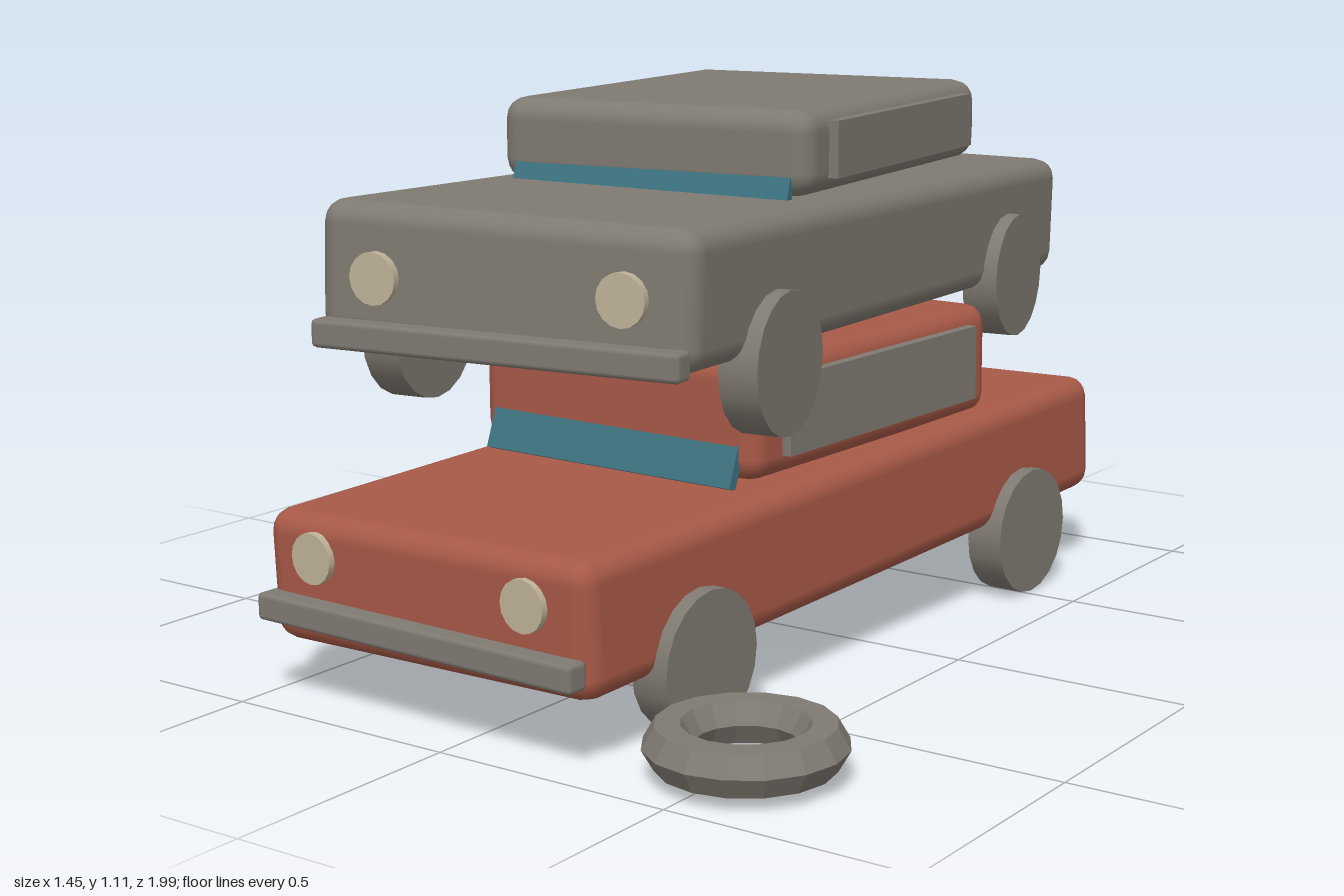
import * as THREE from 'three';
import { RoundedBoxGeometry } from 'three/addons/geometries/RoundedBoxGeometry.js';

function makeMaterial(name, color) {
  const m = new THREE.MeshStandardMaterial({ color });
  m.name = name;
  return m;
}

function addMesh(parent, name, geometry, material, x, y, z) {
  const mesh = new THREE.Mesh(geometry, material);
  mesh.name = name;
  mesh.position.set(x, y, z);
  parent.add(mesh);
  return mesh;
}

export function createModel() {
  const grey = makeMaterial('weathered grey', 0x7f7a71);
  const rust = makeMaterial('rust red', 0xa85947);
  const cream = makeMaterial('lamp cream', 0xbfb298);
  const teal = makeMaterial('glass teal', 0x3d7280);

  const wheelGeo = new THREE.CylinderGeometry(0.137, 0.137, 0.08, 20).rotateZ(Math.PI / 2);
  const lampGeo = new THREE.CylinderGeometry(0.05, 0.05, 0.03, 16).rotateX(Math.PI / 2);

  // One wrecked car; its origin lies at axle height
  function makeCar(name, paint, o) {
    const car = new THREE.Group();
    car.name = name;

    // Body shell, knocked slightly askew
    const body = addMesh(car, 'body', new RoundedBoxGeometry(0.8, 0.26, 1.8, 2, 0.045), paint, 0, 0.132, 0);
    body.rotation.set(o.pitch, 0, o.roll);

    // Cabin, crushed to the given height
    const h = o.cabinHeight;
    const cabinY = 0.27 + h / 2;
    addMesh(car, 'cabin', new RoundedBoxGeometry(0.7, h, 0.86, 2, 0.045), paint, 0, cabinY, -0.09);
    for (const side of [-1, 1]) {
      addMesh(car, 'sideWindow', new THREE.BoxGeometry(0.03, h * 0.66, 0.68), grey, side * 0.355, cabinY + 0.004, -0.09);
    }

    // Sloping windscreen, mostly sunk into the cabin
    const screen = addMesh(car, 'windscreen', new THREE.BoxGeometry(0.62, h * 0.83, 0.02), teal, 0, cabinY - 0.035, 0.325);
    screen.rotation.x = -0.35;

    // Front bumper and headlamps
    addMesh(car, 'frontBumper', new RoundedBoxGeometry(0.78, 0.055, 0.05, 1, 0.01), grey, 0, 0.047, 0.912);
    for (const side of [-1, 1]) {
      addMesh(car, 'headlamp', lampGeo, cream, side * 0.262, 0.155, 0.9);
    }

    // Remaining wheels
    for (const side of o.wheelSides) {
      for (const z of [0.58, -0.58]) addMesh(car, 'wheel', wheelGeo, grey, side * 0.39, 0, z);
    }
    return car;
  }

  const model = new THREE.Group();
  model.name = 'scrapPile';

  const lower = makeCar('lowerCar', rust, { pitch: 0.026, roll: 0.022, cabinHeight: 0.238, wheelSides: [1] });
  lower.position.set(-0.065, 0.138, 0.043);
  lower.rotation.y = -0.033;

  const upper = makeCar('upperCar', grey, { pitch: -0.031, roll: -0.015, cabinHeight: 0.17, wheelSides: [-1, 1] });
  upper.position.set(-0.105, 0.671, -0.062);
  upper.rotation.y = 0.13;
  model.add(lower, upper);

  // Loose tyre lying flat beside the pile
  const tyreGeo = new THREE.TorusGeometry(0.14, 0.046, 6, 16).rotateX(Math.PI / 2);
  const tyreMat = grey.clone();
  tyreMat.name = 'tyre grey';
  tyreMat.flatShading = true;
  addMesh(model, 'looseTyre', tyreGeo, tyreMat, 0.534, 0.067, 0.802);

  // Loose door panel, leaning
  const panel = addMesh(model, 'loosePanel', new THREE.BoxGeometry(0.02, 0.38, 0.465), grey, -0.63, 0.222, -0.338);
  panel.rotation.set(0, 0.19, 0.25);

  return model;
}
